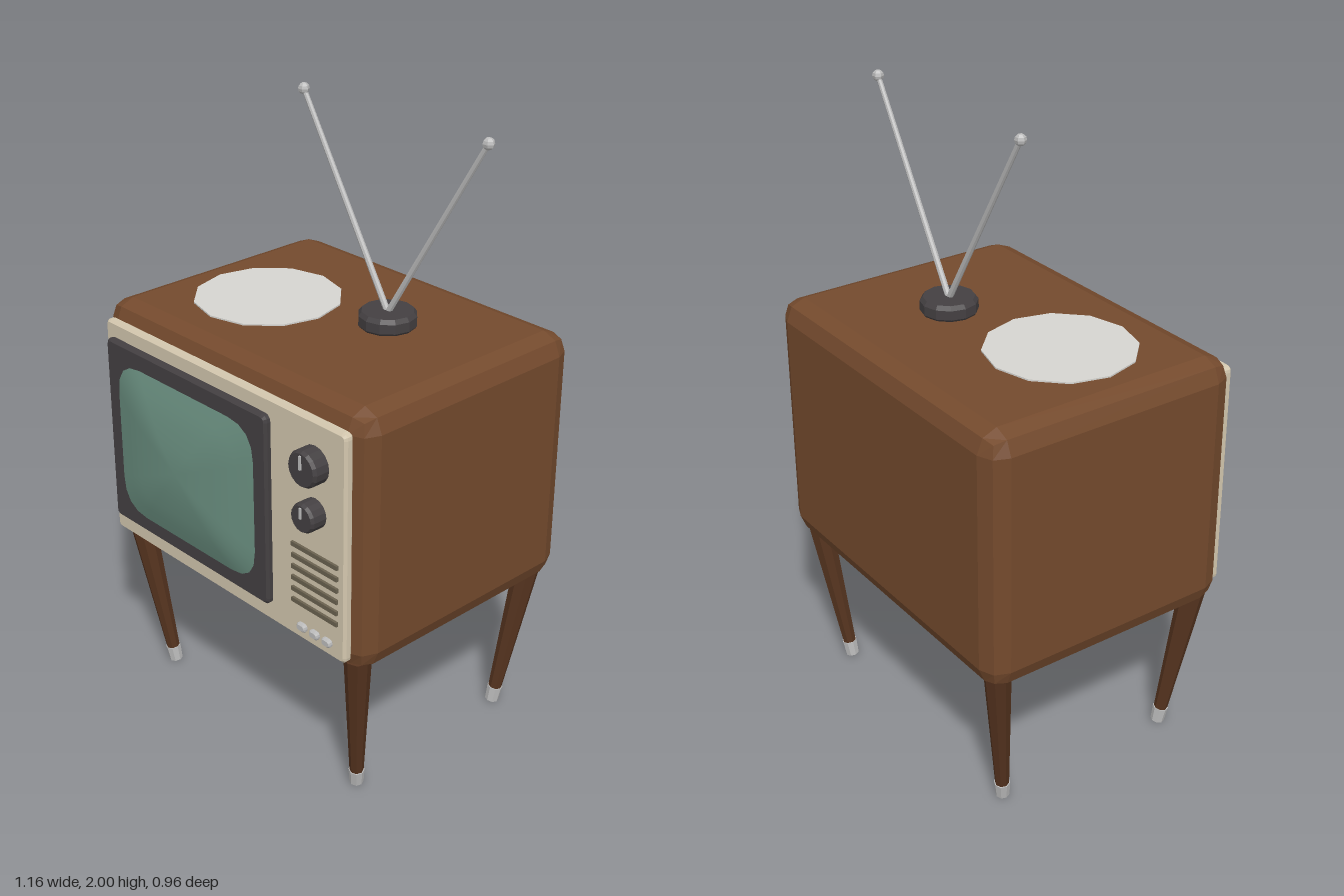
import * as THREE from 'three';
import { mergeVertices } from 'three/addons/utils/BufferGeometryUtils.js';
import { RoundedBoxGeometry } from 'three/addons/geometries/RoundedBoxGeometry.js';

const paint = (name, color) => Object.assign(new THREE.MeshStandardMaterial({ color }), { name });

// Gives every face its own normal
function faceted(geometry) {
  const g = geometry.index ? geometry.toNonIndexed() : geometry;
  g.computeVertexNormals();
  return g;
}

function roundedRect(w, h, r, shape = new THREE.Shape()) {
  const x = w / 2, y = h / 2;
  shape.moveTo(-x + r, -y);
  shape.lineTo(x - r, -y).quadraticCurveTo(x, -y, x, -y + r);
  shape.lineTo(x, y - r).quadraticCurveTo(x, y, x - r, y);
  shape.lineTo(-x + r, y).quadraticCurveTo(-x, y, -x, y - r);
  shape.lineTo(-x, -y + r).quadraticCurveTo(-x, -y, -x + r, -y);
  return shape;
}

// Bevelled plate whose overall size is w x h x d, its back lying at z = 0
function plate(w, h, d, r, bevel) {
  const g = new THREE.ExtrudeGeometry(roundedRect(w - 2 * bevel, h - 2 * bevel, r), {
    depth: d - 2 * bevel, bevelEnabled: true, bevelSize: bevel, bevelThickness: bevel,
    bevelSegments: 1, curveSegments: 3,
  });
  return g.translate(0, 0, bevel);
}

// Domed glass made from shrinking rounded-rectangle rings
function dome(w, h, r, rise) {
  const outline = roundedRect(w, h, r).getPoints(4);
  const scales = [1, 0.8, 0.6, 0.3, 0];
  const n = outline.length, positions = [], index = [];
  scales.forEach((s, k) => outline.forEach((p, i) => {
    positions.push(p.x * s, p.y * s, rise * (1 - s * s));
    if (k === 0 || i === n - 1) return;
    const a = (k - 1) * n + i, c = k * n + i;
    index.push(a, a + 1, c);
    if (k < scales.length - 1) index.push(a + 1, c + 1, c);
  }));
  let g = new THREE.BufferGeometry();
  g.setAttribute('position', new THREE.Float32BufferAttribute(positions, 3));
  g.setIndex(index);
  g = mergeVertices(g);
  g.computeVertexNormals();
  return g;
}

// Tapered rod between two points
function rod(from, to, rFrom, rTo, sides) {
  const dir = to.clone().sub(from);
  const g = new THREE.CylinderGeometry(rTo, rFrom, dir.length(), sides);
  g.applyQuaternion(new THREE.Quaternion().setFromUnitVectors(new THREE.Vector3(0, 1, 0), dir.normalize()));
  const mid = from.clone().add(to).multiplyScalar(0.5);
  return faceted(g.translate(mid.x, mid.y, mid.z));
}

const turned = (profile, sides) =>
  faceted(new THREE.LatheGeometry(profile.map(([x, y]) => new THREE.Vector2(x, y)), sides));

export function createModel() {
  const model = new THREE.Group();
  model.name = 'television';
  const wood = paint('cabinet wood', 0x744a2d);
  const darkWood = paint('leg wood', 0x56341f);
  const cream = paint('cream panel', 0xd3c7ae);
  const dark = paint('dark plastic', 0x444042);
  const glass = paint('green glass', 0x6a8f80);
  const silver = paint('silver metal', 0xbdbdbd);
  const slatBrown = paint('grille brown', 0x6a6250);
  const white = paint('white cloth', 0xd6d5d1);

  const add = (name, geometry, material, x = 0, y = 0, z = 0, parent = model) => {
    const mesh = new THREE.Mesh(geometry, material);
    mesh.name = name;
    mesh.position.set(x, y, z);
    parent.add(mesh);
    return mesh;
  };

  // Cabinet with two-step rounded edges
  add('cabinet', faceted(new RoundedBoxGeometry(1.16, 0.835, 0.866, 1, 0.066)), wood, 0, 0.9225, -0.047);

  // Front panel, bezel and screen
  add('frontPanel', plate(1.075, 0.74, 0.032, 0.012, 0.008), cream, 0, 0.919, 0.38);
  add('screenBezel', plate(0.745, 0.627, 0.03, 0.015, 0.008), dark, -0.142, 0.925, 0.402);
  add('screen', dome(0.635, 0.515, 0.11, 0.043), glass, -0.142, 0.922, 0.4325);

  // Knobs with pointer marks
  for (const [y, r] of [[1.157, 0.057], [1.003, 0.046]]) {
    const knob = new THREE.Group();
    knob.name = 'knob';
    knob.position.set(0.415, y, 0.41);
    model.add(knob);
    const body = turned([[r, 0], [r, 0.046], [r * 0.88, 0.056], [0, 0.056]], 16).rotateX(Math.PI / 2);
    add('knobBody', body, dark, 0, 0, 0, knob);
    add('knobPointer', new THREE.BoxGeometry(0.007, r * 0.75, 0.006), silver, 0, r * 0.4, 0.058, knob);
  }

  // Speaker grille slats
  for (let i = 0; i < 6; i++) {
    add('grilleSlat', new THREE.BoxGeometry(0.19, 0.014, 0.01), slatBrown, 0.415, 0.865 - i * 0.0376, 0.415);
  }

  // Push buttons
  for (let i = 0; i < 3; i++) {
    add('pushButton', plate(0.038, 0.027, 0.018, 0.008, 0.005), silver, 0.363 + i * 0.053, 0.598, 0.408);
  }

  // Legs leaning inwards, with metal tips
  for (const sx of [-1, 1]) {
    for (const sz of [-1, 1]) {
      const top = new THREE.Vector3(sx * 0.51, 0.53, -0.04 + sz * 0.373);
      const foot = new THREE.Vector3(sx * 0.447, 0.004, -0.04 + sz * 0.311);
      const ankle = foot.clone().lerp(top, 0.1);
      add('leg', rod(ankle, top, 0.022, 0.042, 8), darkWood);
      add('legTip', rod(foot, ankle, 0.022, 0.025, 8), silver);
    }
  }

  // Aerial
  const ax = 0.173, az = -0.104;
  add('aerialBase', turned([[0.084, 0], [0.09, 0.008], [0.09, 0.038], [0.08, 0.051], [0, 0.051]], 12),
    dark, ax, 1.339, az);
  for (const side of [-1, 1]) {
    const tip = new THREE.Vector3(ax + side * 0.365, 1.982, az);
    add('aerialRod', rod(new THREE.Vector3(ax, 1.38, az), tip, 0.01, 0.008, 8), silver);
    add('aerialTip', faceted(new THREE.SphereGeometry(0.018, 6, 6)), silver, tip.x, tip.y, tip.z);
  }

  // Round mat on top
  add('mat', faceted(new THREE.CylinderGeometry(0.232, 0.232, 0.008, 12)), white, -0.232, 1.341, 0.013);

  return model;
}
